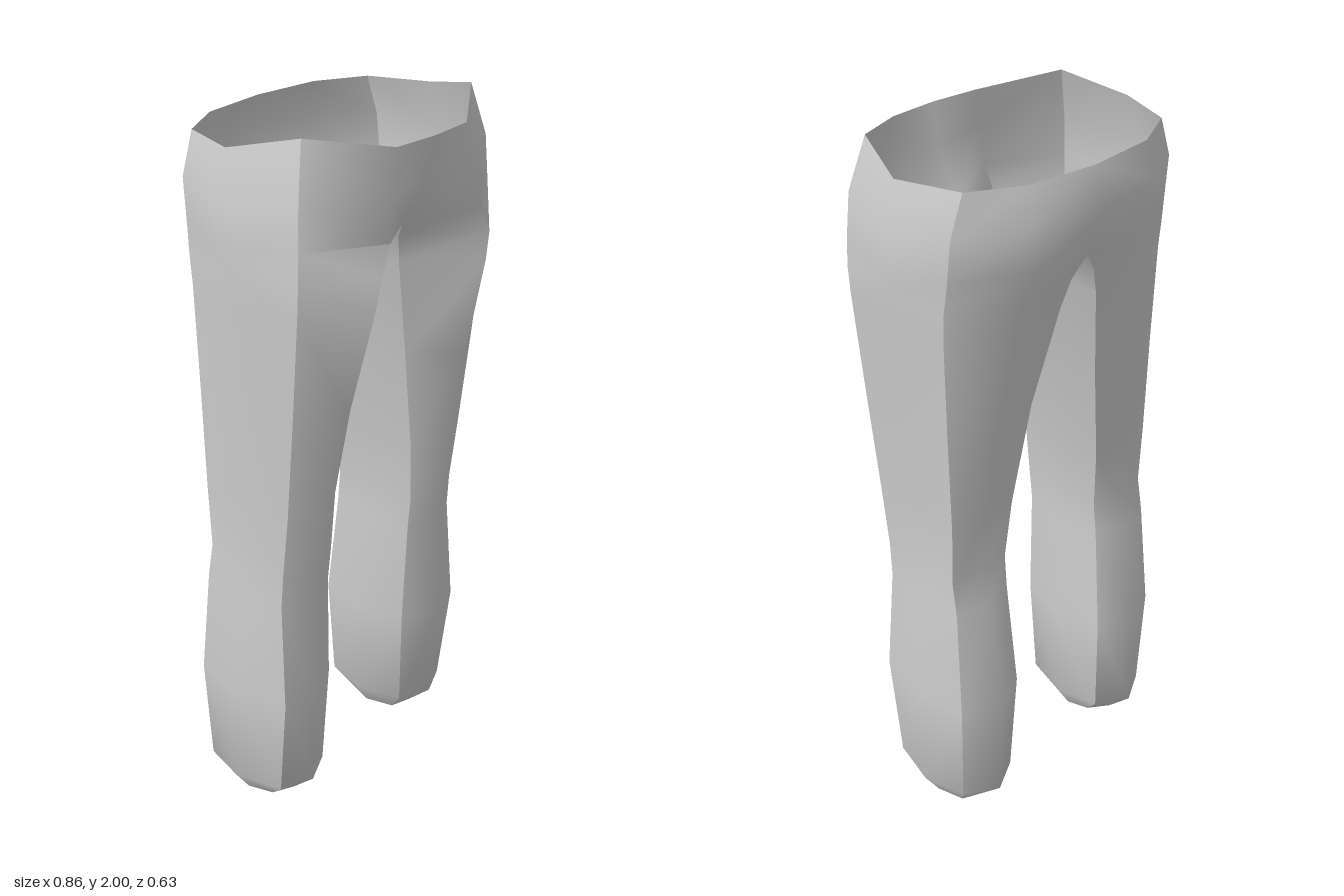
import * as THREE from 'three';
import { toCreasedNormals } from 'three/addons/utils/BufferGeometryUtils.js';

// Leg sections: y, then inner x, outer x, front z, back z,
// then [x, front z, back z] of the outer corners and of the inner corners
const LEG = [
  [0.005, 0.195, 0.36, 0.05, -0.16, [0.337, 0.02, -0.135], [0.218, 0.03, -0.12]],
  [0.08, 0.15, 0.41, 0.13, -0.235, [0.375, 0.09, -0.18], [0.185, 0.085, -0.18]],
  [0.40, 0.135, 0.412, 0.16, -0.24, [0.385, 0.13, -0.185], [0.17, 0.105, -0.185]],
  [0.72, 0.155, 0.39, 0.165, -0.18, [0.372, 0.115, -0.155], [0.18, 0.115, -0.15]],
  [0.82, 0.157, 0.38, 0.18, -0.15, [0.37, 0.122, -0.138], [0.178, 0.125, -0.14]],
  [1.0, 0.143, 0.385, 0.2, -0.165, [0.372, 0.143, -0.145], [0.165, 0.13, -0.155]],
  [1.3, 0.095, 0.40, 0.245, -0.2, [0.38, 0.17, -0.15], [0.12, 0.135, -0.185]],
  [1.58, 0.038, 0.422, 0.305, -0.25, [0.387, 0.19, -0.16], [0.065, 0.145, -0.235]],
  [1.66, 0.018, 0.428, 0.315, -0.265, [0.388, 0.193, -0.168], [0.04, 0.16, -0.25]],
];

// Hip sections: front, front-outer, outer, back-outer, back, back centre;
// every section ends with the crotch and front centre on the middle line
const HIPS = [
  [[0.19, 1.74, 0.312], [0.385, 1.74, 0.19], [0.43, 1.73, -0.02], [0.383, 1.74, -0.178],
    [0.2, 1.74, -0.28], [0, 1.72, -0.265], [0, 1.70, -0.03], [0, 1.715, 0.2]],
  [[0.17, 1.85, 0.303], [0.375, 1.86, 0.185], [0.43, 1.83, -0.02], [0.38, 1.85, -0.188],
    [0.22, 1.86, -0.29], [0, 1.86, -0.32], null, [0, 1.85, 0.275]],
  [[0.14, 1.96, 0.288], [0.335, 2.0, 0.16], [0.4, 1.96, -0.02], [0.34, 1.96, -0.19],
    [0.2, 1.96, -0.265], [0, 1.96, -0.285], null, [0, 1.96, 0.298]],
];

// Cloth panels, each two strips wide and meeting at sharp corner edges
const PANELS = {
  frontPanel: [7, 0],
  outerPanels: [1, 2],
  backPanel: [3, 4],
  innerPanels: [5, 6],
};

// Eight-sided leg section, starting at the front and running outwards
function legRing([y, inner, outer, front, back, [ox, of, ob], [ix, inf, inb]]) {
  const cx = (inner + outer) / 2, cz = (front + back) / 2;
  return [
    [cx, y, front], [ox, y, of], [outer, y, cz], [ox, y, ob],
    [cx, y, back], [ix, y, inb], [inner, y, cz], [ix, y, inf],
  ];
}

const RINGS = [...LEG.map(legRing), ...HIPS];

// Mirrors a point to its half; the knees lean slightly to one side
function place([x, y, z], side) {
  const lean = 0.014 * Math.sin(Math.PI * Math.min(1, y / 1.7));
  return [side * x - lean, y, z];
}

// Skins the given strips of both halves from the leg openings to the waist
function panelGeometry(strips) {
  const positions = [];
  for (const side of [1, -1]) {
    for (const i of strips) {
      const j = (i + 1) % 8;
      for (let r = 0; r < RINGS.length - 1; r++) {
        const quad = [RINGS[r][i], RINGS[r][j], RINGS[r + 1][j], RINGS[r + 1][i]];
        if (quad.includes(null)) continue; // the hips are open between the halves
        const [a, b, c, d] = quad.map((p) => place(p, side));
        const corners = side > 0 ? [a, b, c, a, c, d] : [a, c, b, a, d, c];
        positions.push(...corners.flat());
      }
    }
  }
  const geometry = new THREE.BufferGeometry();
  geometry.setAttribute('position', new THREE.Float32BufferAttribute(positions, 3));
  return toCreasedNormals(geometry, 1.3);
}

export function createModel() {
  const group = new THREE.Group();
  group.name = 'trousers';
  const cloth = new THREE.MeshStandardMaterial({ color: 0xcccccc, side: THREE.DoubleSide });
  for (const [name, strips] of Object.entries(PANELS)) {
    const panel = new THREE.Mesh(panelGeometry(strips), cloth);
    panel.name = name;
    group.add(panel);
  }
  return group;
}
